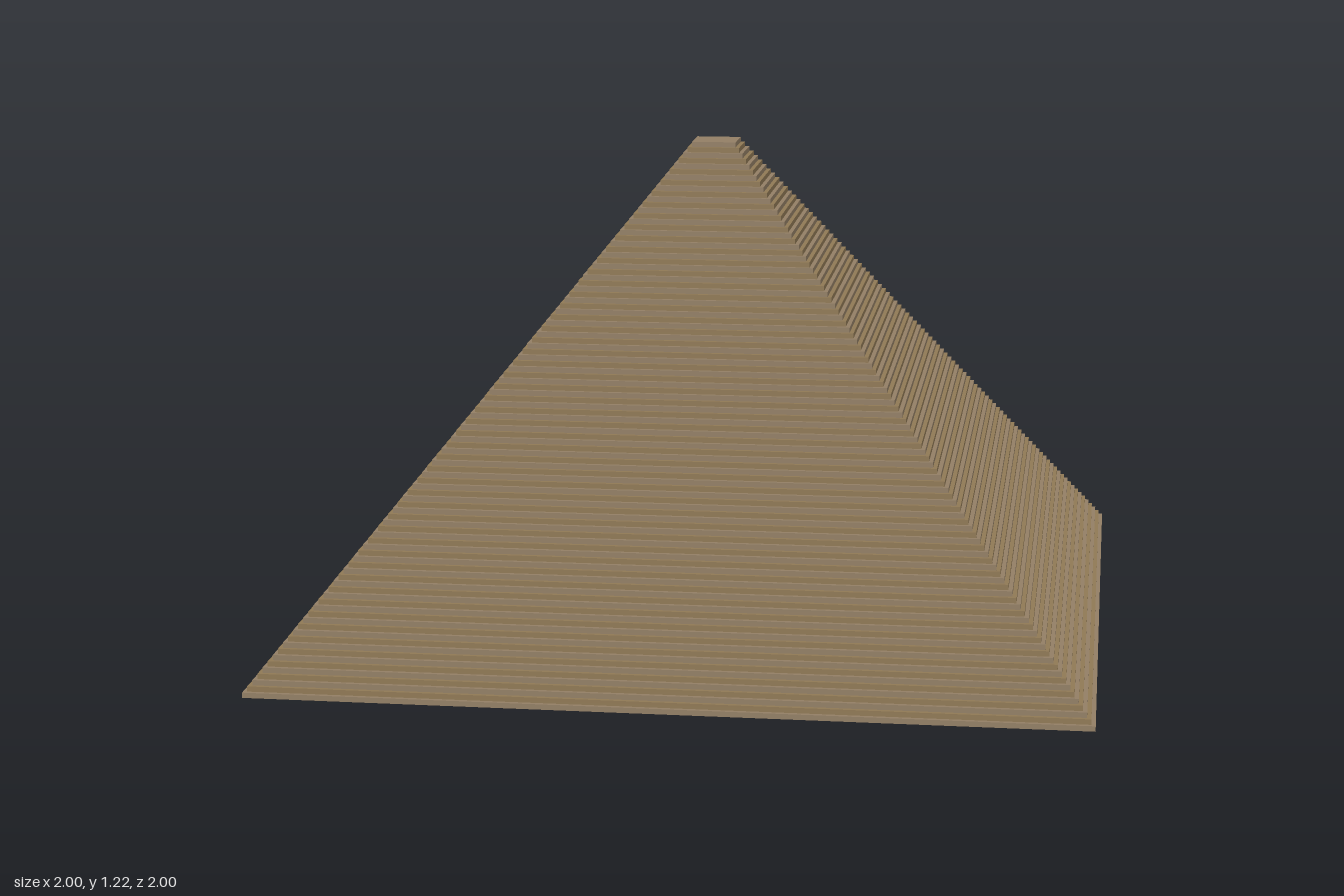
import * as THREE from 'three';
import { mergeGeometries } from 'three/addons/utils/BufferGeometryUtils.js';

const COURSES = 95;
const HEIGHT = 1.215;
const BASE_HALF = 1;
const TOP_HALF = 0.056;

const material = (name, color) => new THREE.MeshStandardMaterial({
  name, color, flatShading: true, side: THREE.DoubleSide,
});

// Four upright walls of one course, open above and below
function riser(half, y, h) {
  const r = half * Math.SQRT2;
  return new THREE.CylinderGeometry(r, r, h, 4, 1, true, Math.PI / 4).translate(0, y + h / 2, 0);
}

// Flat square ledge between one course and the next
function tread(inner, outer, y) {
  return new THREE.RingGeometry(inner * Math.SQRT2, outer * Math.SQRT2, 4, 1, Math.PI / 4)
    .rotateX(-Math.PI / 2).translate(0, y, 0);
}

export function createModel() {
  const group = new THREE.Group();
  group.name = 'steppedPyramid';
  const greyStone = material('greyBrownStone', 0x948066);
  const tanStone = material('tanStone', 0x917a56);

  // Hollow shell of square courses in two alternating stones
  const h = HEIGHT / COURSES;
  const step = (BASE_HALF - TOP_HALF) / (COURSES - 1);
  const courses = [[], []];
  for (let i = 0; i < COURSES; i++) {
    const half = BASE_HALF - i * step;
    const parts = courses[i % 2];
    parts.push(riser(half, i * h, h));
    if (i < COURSES - 1) parts.push(tread(half - step, half, (i + 1) * h));
  }
  [['greyCourses', greyStone], ['tanCourses', tanStone]].forEach(([name, mat], i) => {
    const mesh = new THREE.Mesh(mergeGeometries(courses[i]), mat);
    mesh.name = name;
    group.add(mesh);
  });

  // Flat summit
  const summit = new THREE.Mesh(new THREE.PlaneGeometry(2 * TOP_HALF, 2 * TOP_HALF), greyStone);
  summit.name = 'summit';
  summit.rotation.x = -Math.PI / 2;
  summit.position.y = HEIGHT;
  group.add(summit);
  return group;
}
